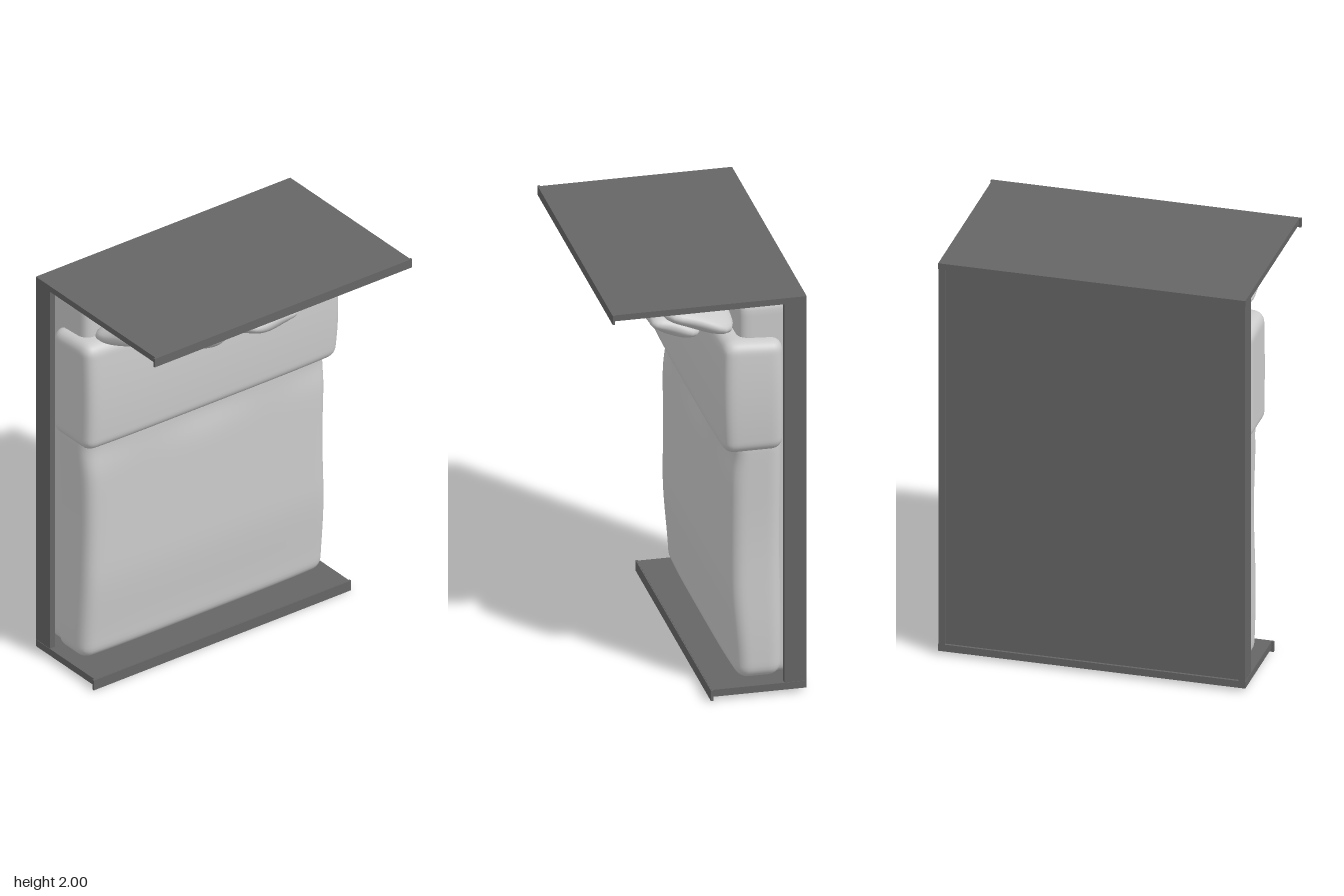
import * as THREE from 'three';
import { mergeVertices } from 'three/addons/utils/BufferGeometryUtils.js';

const cloth = new THREE.MeshStandardMaterial({ color: 0xcccccc });
const wood = new THREE.MeshStandardMaterial({ color: 0x666666 });

function add(parent, name, geometry, material) {
  const mesh = new THREE.Mesh(geometry, material);
  mesh.name = name;
  parent.add(mesh);
  return mesh;
}

// Plain box given by its limits on each axis
function box(parent, name, [x0, x1], [y0, y1], [z0, z1]) {
  const mesh = add(parent, name, new THREE.BoxGeometry(x1 - x0, y1 - y0, z1 - z0), wood);
  mesh.position.set((x0 + x1) / 2, (y0 + y1) / 2, (z0 + z1) / 2);
  return mesh;
}

// Move every vertex by a rule, then smooth the normals
function shape(geometry, rule) {
  geometry.deleteAttribute('uv');
  geometry.deleteAttribute('normal');
  const g = mergeVertices(geometry, 1e-5);
  const pos = g.attributes.position;
  const p = new THREE.Vector3();
  for (let i = 0; i < pos.count; i++) {
    rule(p.fromBufferAttribute(pos, i));
    pos.setXYZ(i, p.x, p.y, p.z);
  }
  g.computeVertexNormals();
  return g;
}

// Block with soft edges of radius r; sag(p) shapes it further
function softBlock(parent, name, xs, ys, zs, r, sag = () => {}) {
  const lo = new THREE.Vector3(xs[0], ys[0], zs[0]);
  const hi = new THREE.Vector3(xs[1], ys[1], zs[1]);
  const mid = lo.clone().add(hi).multiplyScalar(0.5);
  const half = hi.clone().sub(mid);
  const inner = [lo.clone().addScalar(r), hi.clone().subScalar(r)];
  const ease = (t) => Math.sin((t * Math.PI) / 2);
  const core = new THREE.Vector3();
  const geometry = shape(new THREE.BoxGeometry(2, 2, 2, 40, 40, 16), (p) => {
    p.set(ease(p.x), ease(p.y), ease(p.z)).multiply(half).add(mid);
    core.copy(p).clamp(...inner);
    p.sub(core).setLength(r).add(core);
    sag(p);
  });
  return add(parent, name, geometry, cloth);
}

// Plump cushion, flat along z, with square-ish outline and a bent middle
function cushion(parent, name, w, h, d, at, tilt, roll = 0, bend = 0) {
  const geometry = shape(new THREE.SphereGeometry(1, 40, 28).rotateX(Math.PI / 2), (p) => {
    const flat = (Math.abs(p.x) ** 4.5 + Math.abs(p.y) ** 4.5) ** (2.2 / 4.5);
    p.multiplyScalar((flat + Math.abs(p.z) ** 2.2) ** (-1 / 2.2));
    const { x, y } = p;
    p.x *= (w / 2) * (1 - 0.05 * (1 - y * y));
    p.y *= (h / 2) * (1 - 0.04 * (1 - x * x));
    p.z *= (d / 2) * (1 - 0.25 * x * x * y * y);
    p.y += bend * x * x;
    p.z += 0.006 * Math.sin(4 * x + 3 * y);
  });
  const mesh = add(parent, name, geometry, cloth);
  mesh.rotation.set(tilt, 0, roll);
  mesh.position.set(...at);
}

// Board with two recessed panels on its lower face and a lip on its free edge
function board(parent, name, y0, y1, z0, z1, lipY) {
  const g = new THREE.Group();
  g.name = name;
  parent.add(g);
  const x = 0.735;
  const face = [y0, y0 + 0.012];
  box(g, 'panel', [-x, x], [y0 + 0.012, y1], [z0, z1]);
  for (const s of [-1, 1]) {
    const edges = [s * x, s * (x - 0.045)].sort((a, b) => a - b);
    box(g, 'sideBorder', edges, face, [z0, z1]);
  }
  box(g, 'divider', [-0.022, 0.022], face, [z0 + 0.04, z1 - 0.04]);
  box(g, 'backBorder', [-x + 0.045, x - 0.045], face, [z0, z0 + 0.04]);
  box(g, 'frontBorder', [-x + 0.045, x - 0.045], face, [z1 - 0.04, z1]);
  box(g, 'lip', [-0.745, 0.742], lipY, [z1 - 0.006, z1 + 0.005]);
}

export function createModel() {
  const bed = new THREE.Group();
  bed.name = 'bed';

  // Frame: the bed stands on its foot end, its sleeping side faces the front
  board(bed, 'headboard', 1.97, 2.0, -0.46, 0.455, [1.955, 2.0]);
  board(bed, 'footboard', 0.018, 0.053, -0.46, -0.01, [0, 0.052]);
  for (const s of [-1, 1]) {
    const xs = [s * 0.703, s * 0.733].sort((a, b) => a - b);
    box(bed, 'sideRail', xs, [0.05, 1.972], [-0.46, -0.355]);
  }

  // Underside panel, set back a little within the rails
  const base = add(bed, 'basePanel', new THREE.PlaneGeometry(1.41, 1.93), wood);
  base.rotation.y = Math.PI;
  base.position.set(0, 1.01, -0.448);

  // Mattress
  softBlock(bed, 'mattress', [-0.68, 0.665], [0.07, 1.965], [-0.44, -0.155], 0.05);

  // Duvet, thinning towards the foot, with shallow creases below the fold
  softBlock(bed, 'duvet', [-0.7, 0.695], [0.063, 1.3], [-0.36, -0.1], 0.065, (p) => {
    const front = THREE.MathUtils.smoothstep(p.z, -0.34, -0.12);
    const foot = 1 - THREE.MathUtils.smoothstep(p.y, 0.05, 0.55);
    const crease = Math.exp(-(((p.y - 1.2) / 0.09) ** 2));
    p.z -= front * (0.03 * foot + 0.016 * crease * (0.6 + 0.4 * Math.cos(p.x * 9)));
    p.z -= front * 0.012 * (p.x / 0.7) ** 4;
    p.x += 0.006 * Math.sin(p.y * 6) * Math.sign(p.x);
  });

  // Turned-back fold of the duvet, fuller on the sides
  softBlock(bed, 'duvetFold', [-0.73, 0.725], [1.222, 1.778], [-0.357, -0.055], 0.055, (p) => {
    const t = (p.y - 1.5) / 0.28;
    const front = THREE.MathUtils.smoothstep(p.z, -0.34, -0.1);
    p.z -= front * (0.012 * t * t + 0.01 * (p.x / 0.73) ** 4);
    if (p.x > 0) p.x += 0.016 * (1 - t * t) * (p.x / 0.73) ** 3;
    p.y -= front * 0.01 * Math.max(0, t) * Math.cos(p.x * 4.3);
  });

  // Pillows leaning back against the headboard
  for (const x of [-0.347, 0.327]) {
    cushion(bed, 'pillow', 0.67, 0.38, 0.145, [x, 1.862, 0.018], 1.27, 0, 0.0);
  }

  // Small cushions
  cushion(bed, 'squareCushion', 0.3, 0.26, 0.12, [-0.135, 1.7, 0.03], 0.95, -0.05);
  cushion(bed, 'smallCushion', 0.31, 0.26, 0.11, [0.175, 1.695, 0.045], 1.3, 0.03, 0.015);

  return bed;
}
